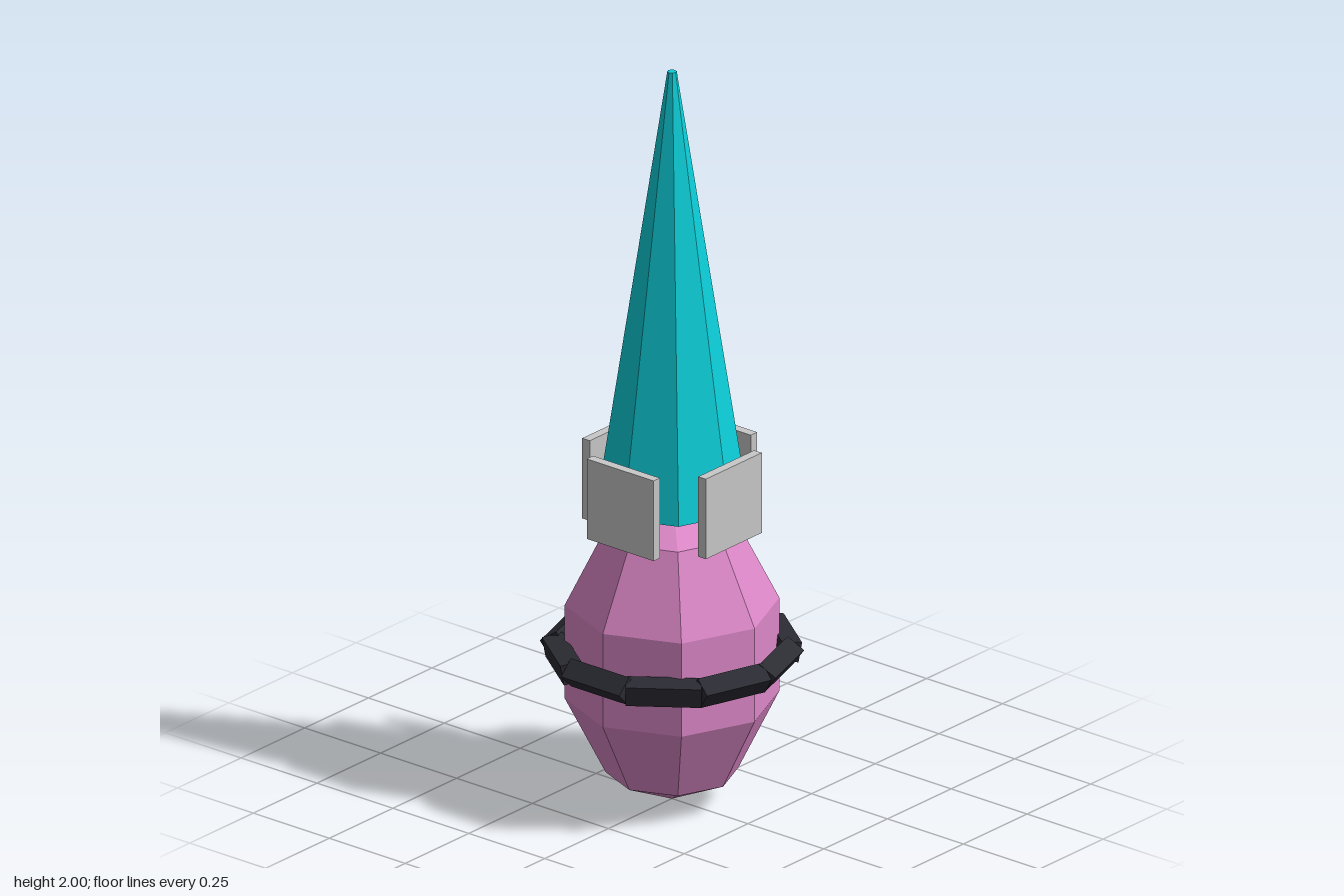
import * as THREE from 'three';

function material(name, color) {
  const m = new THREE.MeshStandardMaterial({ color, flatShading: true });
  m.name = name;
  return m;
}

export function createModel() {
  const model = new THREE.Group();
  model.name = 'spikedOrnament';
  const pink = material('pink', 0xdc88c8);
  const turquoise = material('turquoise', 0x0ccfd9);
  const silver = material('silver', 0xc8c8c8);
  const charcoal = material('charcoal', 0x2b2b33);

  function add(name, geometry, mat, parent = model) {
    const mesh = new THREE.Mesh(geometry, mat);
    mesh.name = name;
    parent.add(mesh);
    return mesh;
  }

  // Faceted egg body
  const body = add('body', new THREE.SphereGeometry(1, 8, 5), pink);
  body.scale.set(0.286, 0.414, 0.286);
  body.position.y = 0.416;

  // Tall eight-sided spike
  add('spike', new THREE.CylinderGeometry(0.012, 0.19, 1.17, 8), turquoise).position.y = 1.415;

  // Four square plates around the spike base
  const plate = new THREE.BoxGeometry(0.22, 0.22, 0.025);
  for (let i = 0; i < 4; i++) {
    const holder = new THREE.Group();
    holder.name = 'collarPlate';
    holder.rotation.y = i * Math.PI / 2;
    add('plate', plate, silver, holder).position.set(0, 0.862, 0.191);
    model.add(holder);
  }

  // Belt of ten square bars, each rolled about its own length
  const ring = new THREE.Group();
  ring.name = 'belt';
  ring.position.y = 0.416;
  const bar = new THREE.BoxGeometry(0.192, 0.0545, 0.0545);
  const rolls = [45, 10, 35, 35, 10];
  for (let i = 0; i < 10; i++) {
    const holder = new THREE.Group();
    holder.name = 'beltLink';
    holder.rotation.y = i * Math.PI / 5;
    const link = add('bar', bar, charcoal, holder);
    link.position.z = 0.283;
    link.rotation.x = THREE.MathUtils.degToRad(rolls[i % 5]);
    ring.add(holder);
  }
  model.add(ring);
  return model;
}
